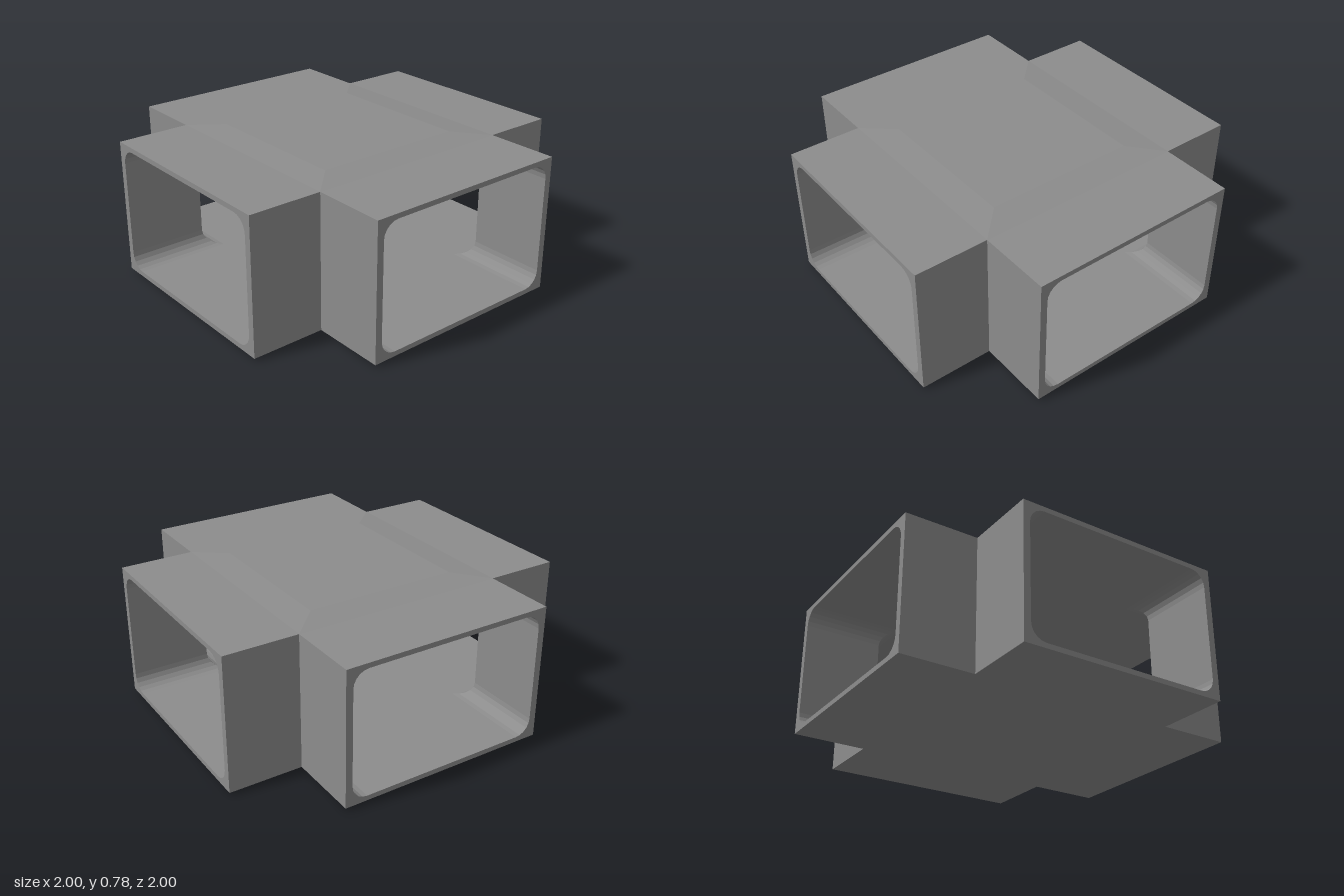
import * as THREE from 'three';

const W = 0.593, Y0 = 0.013, Y1 = 0.767;      // outer half width, floor and roof of an arm
const IW = 0.555, I0 = 0.04, I1 = 0.74, R = 0.085; // inner opening and its corner radius
const HUB = 0.43, BULGE = 0.013;              // raised plateau in the middle

// Builds flat quads from corners listed counter-clockwise seen from outside
function quads(list) {
  const pos = [];
  for (const [a, b, c, d] of list) pos.push(...a, ...b, ...c, ...a, ...c, ...d);
  const g = new THREE.BufferGeometry();
  g.setAttribute('position', new THREE.Float32BufferAttribute(pos, 3));
  g.computeVertexNormals();
  return g;
}

// Rounded opening, counter-clockwise, with midpoints on floor and ceiling
function openingProfile(steps = 5) {
  const pts = [[0, I0]];
  const corners = [[IW - R, I0 + R, -90], [IW - R, I1 - R, 0], [R - IW, I1 - R, 90], [R - IW, I0 + R, 180]];
  corners.forEach(([cx, cy, start], k) => {
    for (let i = 0; i <= steps; i++) {
      const a = THREE.MathUtils.degToRad(start + 90 * i / steps);
      pts.push([cx + R * Math.cos(a), cy + R * Math.sin(a)]);
    }
    if (k === 1) pts.push([0, I1]);
  });
  return pts;
}

// Outer roof or floor: straight arm, slope up to the plateau, then to the centre
function skin(y, sign) {
  const rows = [[1, W, y], [W, W, y], [HUB, HUB, y + sign * BULGE], [0, 0, y + sign * BULGE]];
  const list = [];
  for (let i = 0; i < 3; i++) {
    const [z0, x0, ya] = rows[i], [z1, x1, yb] = rows[i + 1];
    const q = [[-x0, ya, z0], [x0, ya, z0], [x1, yb, z1], [-x1, yb, z1]];
    list.push(sign > 0 ? q : q.reverse());
  }
  return quads(list);
}

export function createModel() {
  const grey = new THREE.MeshStandardMaterial({ color: 0x8c8c8c, flatShading: true });
  grey.name = 'duct grey';
  const profile = openingProfile();

  // Inner lining runs from the mouth to the mitre with the neighbouring arms
  const lining = quads(profile.map(([x, y], i) => {
    const [u, v] = profile[(i + 1) % profile.length];
    return [[u, v, 1], [u, v, Math.abs(u)], [x, y, Math.abs(x)], [x, y, 1]];
  }));

  // Outer side walls
  const right = [[W, Y0, 1], [W, Y0, W], [W, Y1, W], [W, Y1, 1]];
  const left = right.map(([x, y, z]) => [-x, y, z]).reverse();
  const walls = quads([right, left]);

  // Rim around the mouth
  const rimShape = new THREE.Shape([[-W, Y0], [W, Y0], [W, Y1], [-W, Y1]].map(p => new THREE.Vector2(...p)));
  rimShape.holes.push(new THREE.Path(profile.map(p => new THREE.Vector2(...p))));
  const rim = new THREE.ShapeGeometry(rimShape).translate(0, 0, 1);

  const parts = {
    roof: skin(Y1, 1), floor: skin(Y0, -1), sideWalls: walls, innerLining: lining, mouthRim: rim,
  };

  // Four identical arms meeting in the middle
  const model = new THREE.Group();
  model.name = 'ductCrossing';
  ['frontArm', 'leftArm', 'backArm', 'rightArm'].forEach((name, k) => {
    const arm = new THREE.Group();
    arm.name = name;
    for (const [part, geometry] of Object.entries(parts)) {
      const mesh = new THREE.Mesh(geometry, grey);
      mesh.name = part;
      arm.add(mesh);
    }
    arm.rotation.y = k * Math.PI / 2;
    model.add(arm);
  });
  return model;
}
